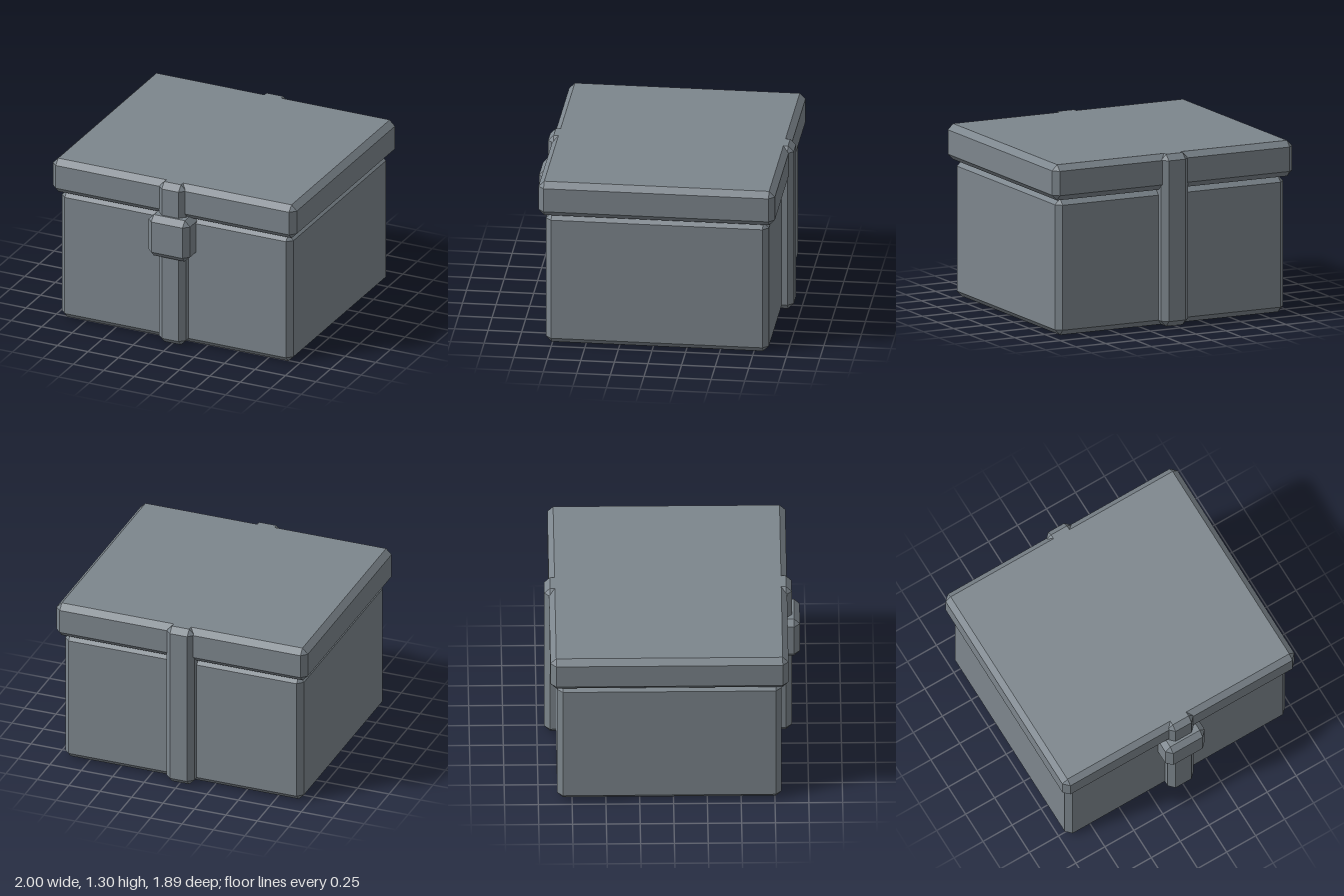
import * as THREE from 'three';
import { ConvexGeometry } from 'three/addons/geometries/ConvexGeometry.js';

const material = new THREE.MeshStandardMaterial({ color: 0x7d868d, flatShading: true });
const BEVEL = 0.043;

// Box with flat-chamfered edges and corners, given by its [min, max] ranges
function chamferedBox(name, xr, yr, zr) {
  const half = new THREE.Vector3(xr[1] - xr[0], yr[1] - yr[0], zr[1] - zr[0]).multiplyScalar(0.5);
  const points = [];
  for (const sx of [-1, 1]) for (const sy of [-1, 1]) for (const sz of [-1, 1]) {
    // each corner becomes three points, one on each neighbouring face
    for (let face = 0; face < 3; face++) {
      const inset = [BEVEL, BEVEL, BEVEL];
      inset[face] = 0;
      points.push(new THREE.Vector3(
        sx * (half.x - inset[0]), sy * (half.y - inset[1]), sz * (half.z - inset[2])));
    }
  }
  const mesh = new THREE.Mesh(new ConvexGeometry(points), material);
  mesh.name = name;
  mesh.position.set((xr[0] + xr[1]) / 2, (yr[0] + yr[1]) / 2, (zr[0] + zr[1]) / 2);
  return mesh;
}

export function createModel() {
  const model = new THREE.Group();
  model.name = 'chest';
  model.add(
    chamferedBox('body', [-0.95, 0.95], [0, 1.03], [-0.86, 0.80]),
    chamferedBox('lid', [-1, 1], [1.03, 1.30], [-0.91, 0.85]),
    // strap passes through the chest and shows as a rib at front and back
    chamferedBox('strap', [-0.113, 0.11], [0, 1.30], [-0.945, 0.885]),
    chamferedBox('latch', [-0.17, 0.17], [0.713, 1.045], [0.65, 0.945]),
  );
  return model;
}
